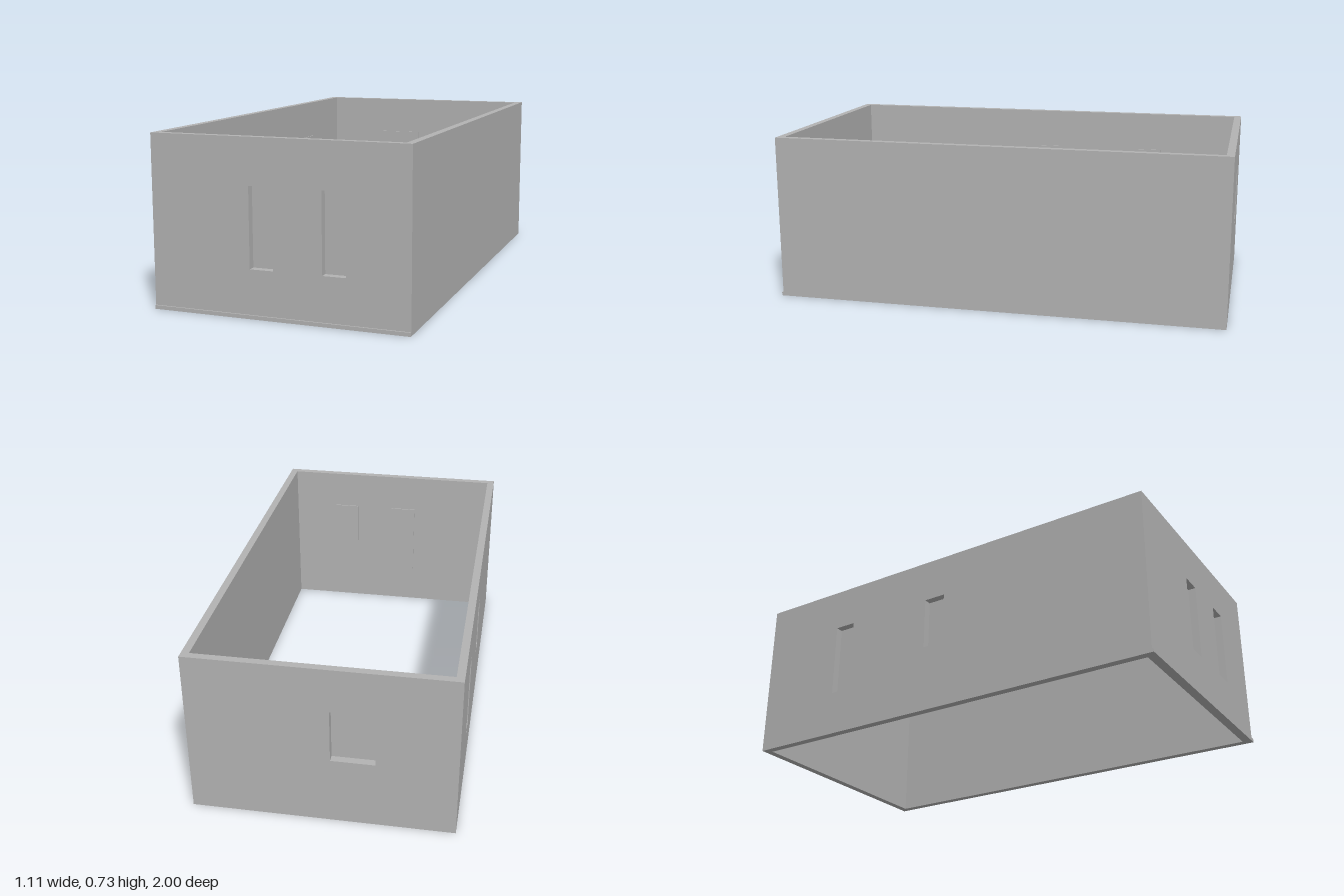
import * as THREE from 'three';

const HEIGHT = 0.732, THICK = 0.033;
const HALF_X = 0.553, FRONT_Z = 0.993, BACK_Z = -1;
const PLATE = 0.006, MARGIN = 0.012;

// Adds a closed rectangle to a shape or path.
function rect(path, x0, x1, y0, y1) {
  path.moveTo(x0, y0);
  path.lineTo(x1, y0);
  path.lineTo(x1, y1);
  path.lineTo(x0, y1);
  path.closePath();
  return path;
}

// A wall whose outer face looks along local +z, with window niches closed by a plate on the inside.
function makeWall(name, material, { u0, u1, outer, turn, windows = [] }) {
  const wall = new THREE.Group();
  wall.name = name;
  wall.rotation.y = turn;
  const inner = outer - THICK;

  const shape = rect(new THREE.Shape(), u0, u1, 0, HEIGHT);
  for (const [a, b, low, high] of windows) shape.holes.push(rect(new THREE.Path(), a, b, low, high));
  const panel = new THREE.Mesh(
    new THREE.ExtrudeGeometry(shape, { depth: THICK, bevelEnabled: false }), material);
  panel.name = name + 'Panel';
  panel.position.z = inner;
  wall.add(panel);

  for (const [a, b, low, high] of windows) {
    const plate = new THREE.Mesh(
      new THREE.BoxGeometry(b - a + 2 * MARGIN, high - low + 2 * MARGIN, PLATE), material);
    plate.name = 'windowPlate';
    plate.position.set((a + b) / 2, (low + high) / 2, inner - PLATE / 2);
    wall.add(plate);
  }
  return wall;
}

export function createModel() {
  const model = new THREE.Group();
  model.name = 'walledEnclosure';
  const grey = new THREE.MeshStandardMaterial({ color: 0xb2b2b2 });
  grey.name = 'plainGrey';

  const innerX = HALF_X - THICK;

  // End walls sit between the long side walls.
  model.add(makeWall('frontWall', grey, {
    u0: -innerX, u1: innerX, outer: FRONT_Z, turn: 0,
    windows: [[-0.12, -0.018, 0.203, 0.538], [0.19, 0.29, 0.203, 0.538]],
  }));
  model.add(makeWall('backWall', grey, {
    u0: -innerX, u1: innerX, outer: -BACK_Z, turn: Math.PI,
    windows: [[0.037, 0.221, 0.303, 0.538]],
  }));

  // Side walls: the left is plain, the right has a tall and a short window.
  model.add(makeWall('leftWall', grey, {
    u0: -FRONT_Z, u1: -BACK_Z, outer: HALF_X, turn: Math.PI / 2,
  }));
  model.add(makeWall('rightWall', grey, {
    u0: BACK_Z, u1: FRONT_Z, outer: HALF_X, turn: -Math.PI / 2,
    windows: [[-0.593, -0.493, 0.203, 0.538], [-0.08, 0.021, 0.303, 0.538]],
  }));

  // Low strip along the foot of the front wall.
  const strip = new THREE.Mesh(new THREE.BoxGeometry(HALF_X * 2, 0.016, 1 - FRONT_Z), grey);
  strip.name = 'frontBaseStrip';
  strip.position.set(0, 0.008, (1 + FRONT_Z) / 2);
  model.add(strip);

  return model;
}
